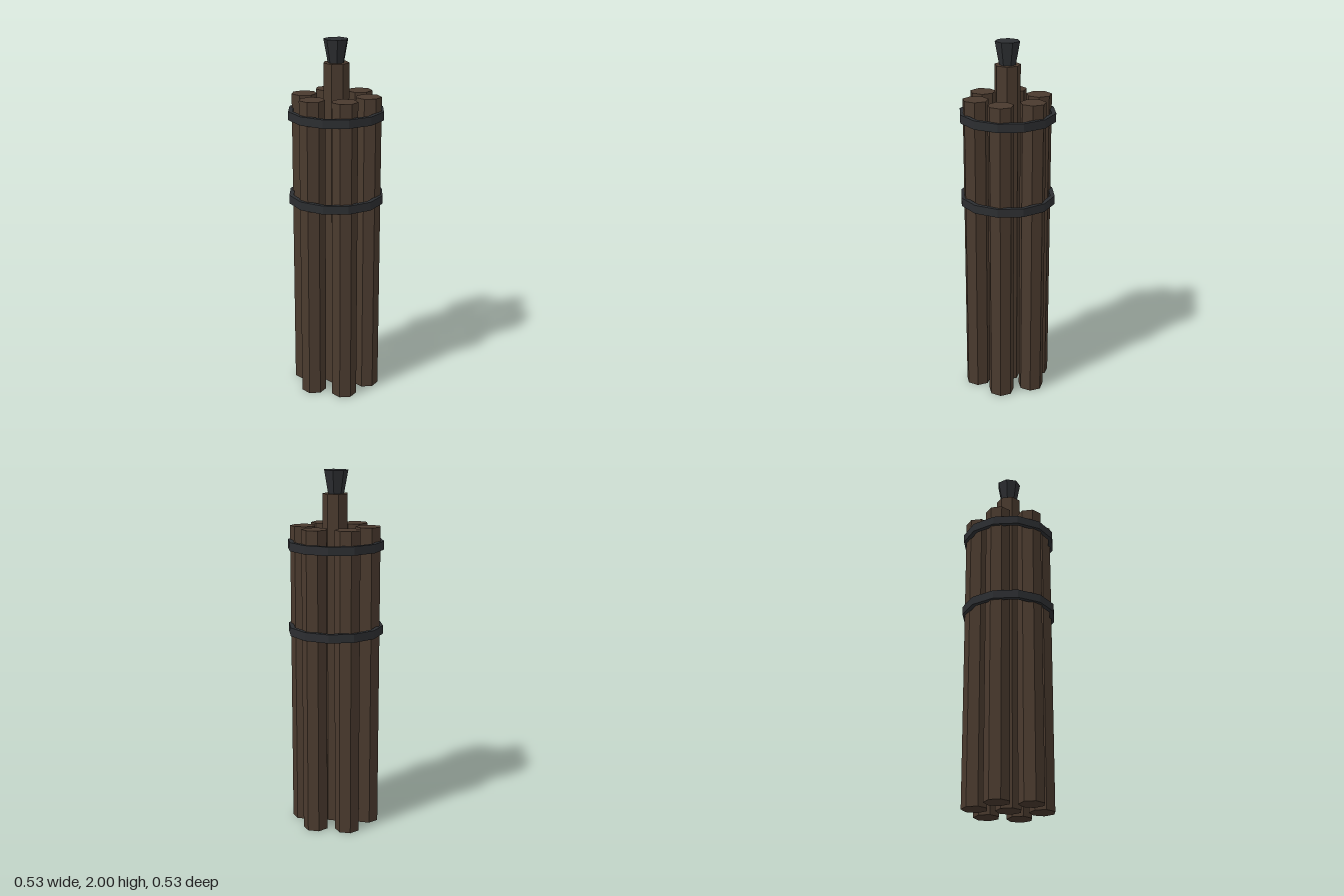
import * as THREE from 'three';

const SIDES = 7;
const brown = new THREE.MeshStandardMaterial({ color: 0x4a3a2e, flatShading: true });
const dark = new THREE.MeshStandardMaterial({ color: 0x2c2e31, flatShading: true });

function addMesh(group, name, geometry, material, x, y, z) {
  const mesh = new THREE.Mesh(geometry, material);
  mesh.name = name;
  mesh.position.set(x, y, z);
  group.add(mesh);
}

// Seven-sided barrel standing on the ground with a corner towards +x
function barrel(height) {
  return new THREE.CylinderGeometry(0.071, 0.071, height, SIDES, 1, false, Math.PI / 2)
    .translate(0, height / 2, 0);
}

// Twelve-sided flat strap with a rectangular section, closed on all sides
function strap(inner, outer, height) {
  const h = height / 2;
  const section = [[inner, -h], [outer, -h], [outer, h], [inner, h], [inner, -h]];
  return new THREE.LatheGeometry(section.map(([r, y]) => new THREE.Vector2(r, y)), 12);
}

export function createModel() {
  const model = new THREE.Group();
  model.name = 'barrelCluster';

  // Ring of six barrels around a taller central one
  const ringRadius = 0.179;
  for (let i = 0; i < 6; i++) {
    const a = (i * Math.PI) / 3;
    addMesh(model, `outerBarrel${i + 1}`, barrel(1.7), brown,
      Math.cos(a) * ringRadius, 0, Math.sin(a) * ringRadius);
  }
  addMesh(model, 'centralBarrel', barrel(1.875), brown, 0, 0, 0);

  // Flared cap on the central barrel, a corner towards -x
  const cap = new THREE.CylinderGeometry(0.068, 0.045, 0.125, SIDES, 1, false, -Math.PI / 2);
  addMesh(model, 'flaredCap', cap, dark, 0, 1.9375, 0);

  // Two straps holding the bundle together
  addMesh(model, 'lowerStrap', strap(0.239, 0.264, 0.047), dark, 0, 1.132, 0);
  addMesh(model, 'upperStrap', strap(0.239, 0.264, 0.047), dark, 0, 1.6, 0);

  return model;
}
